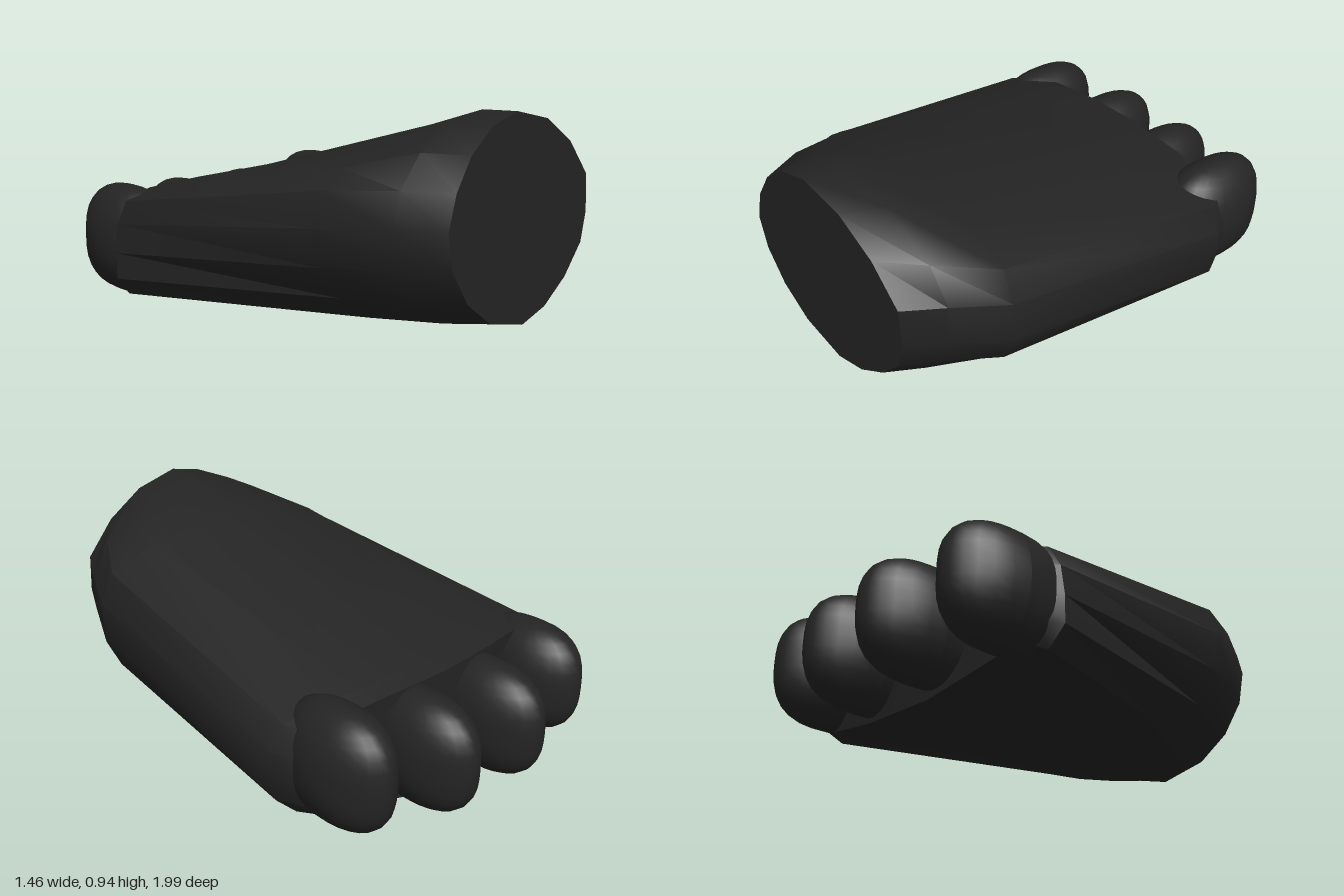
import * as THREE from 'three';
import { toCreasedNormals } from 'three/addons/utils/BufferGeometryUtils.js';

// Cross-sections (x, y pairs) from the flat ankle cut to the toe end, anticlockwise from the top
const ankle = [.05, .95, -.1, .91, -.22, .82, -.3, .7, -.34, .57, -.31, .43, -.22, .3, -.08, .2,
  .13, .15, .28, .19, .42, .28, .53, .4, .56, .52, .55, .67, .42, .81, .25, .91];
const flare = [.05, .945, -.15, .9, -.3, .82, -.4, .7, -.44, .57, -.41, .42, -.31, .28, -.15, .18,
  .1, .135, .3, .16, .47, .25, .58, .37, .63, .5, .63, .66, .54, .79, .3, .9];
const instep = [.05, .87, -.2, .82, -.42, .75, -.52, .68, -.56, .55, -.52, .4, -.42, .27, -.28, .17,
  0, .11, .3, .12, .52, .2, .66, .32, .72, .45, .72, .62, .66, .74, .45, .81];
const ball = [0, .56, -.25, .56, -.5, .55, -.66, .51, -.71, .42, -.725, .3, -.725, .19, -.66, .11,
  -.2, .01, .2, .03, .62, .12, .7, .2, .725, .32, .725, .42, .67, .52, .35, .56];

// Turns a section into 3D points; slant tilts it, bow pushes its middle towards the toes
function ring(section, z, slant = 0, bow = 0, scale = 1) {
  const points = [];
  for (let i = 0; i < section.length; i += 2) {
    const x = section[i] * scale;
    const y = .28 + (section[i + 1] - .28) * scale;
    points.push(new THREE.Vector3(x, y, z - slant * x - bow * (1 - (x / .73) ** 2)));
  }
  return points;
}

function centre(points) {
  return points.reduce((sum, p) => sum.add(p), new THREE.Vector3()).divideScalar(points.length);
}

// Skins the rings and closes both ends
function loft(rings) {
  const out = [];
  const tri = (...corners) => corners.forEach((p) => out.push(p.x, p.y, p.z));
  const first = rings[0], last = rings[rings.length - 1], n = first.length;
  const front = centre(first), back = centre(last);
  back.z = Math.min(...last.map((p) => p.z));
  for (let j = 0; j < n; j++) {
    const k = (j + 1) % n;
    for (let i = 0; i < rings.length - 1; i++) {
      const a = rings[i], b = rings[i + 1];
      tri(a[j], b[j], a[k]);
      tri(a[k], b[j], b[k]);
    }
    tri(front, first[j], first[k]);
    tri(back, last[k], last[j]);
  }
  const geometry = new THREE.BufferGeometry();
  geometry.setAttribute('position', new THREE.Float32BufferAttribute(out, 3));
  return toCreasedNormals(geometry, .6);
}

// A plump toe: a ball squared off in profile, tapered to a blunt tip at -z
function toeGeometry() {
  const geometry = new THREE.SphereGeometry(1, 24, 18);
  const pos = geometry.attributes.position;
  for (let i = 0; i < pos.count; i++) {
    const x = pos.getX(i), y = pos.getY(i), z = pos.getZ(i);
    const r = Math.hypot(y, z) || 1;
    const square = (Math.abs(y / r) ** 2.7 + Math.abs(z / r) ** 2.7) ** (-1 / 2.7);
    const taper = z < 0 ? 1 - .18 * z * z : 1;
    pos.setXYZ(i, x * taper, y * square, z * square);
  }
  geometry.computeVertexNormals();
  return geometry;
}

export function createModel() {
  const group = new THREE.Group();
  group.name = 'paw';
  const fur = new THREE.MeshStandardMaterial({ color: 0x242424 });
  fur.name = 'charcoal';

  // Foot body
  const foot = new THREE.Mesh(loft([
    ring(ankle, .96, .088),
    ring(flare, .8, .06),
    ring(instep, .55),
    ring(ball, -.5, 0, .1),
    ring(ball, -.58, 0, .1, .93),
  ]), fur);
  foot.name = 'foot';
  group.add(foot);

  // Toes: x, y, z, half width, half height, half length
  const toes = [
    ['leftOuterToe', .525, .36, -.66, .165, .24, .255],
    ['leftInnerToe', .16, .3, -.72, .162, .235, .27],
    ['rightInnerToe', -.215, .295, -.725, .163, .235, .275],
    ['rightOuterToe', -.57, .32, -.66, .165, .235, .255],
  ];
  const shape = toeGeometry();
  for (const [name, x, y, z, w, h, l] of toes) {
    const toe = new THREE.Mesh(shape, fur);
    toe.name = name;
    toe.position.set(x, y, z);
    toe.scale.set(w, h, l);
    group.add(toe);
  }
  return group;
}
